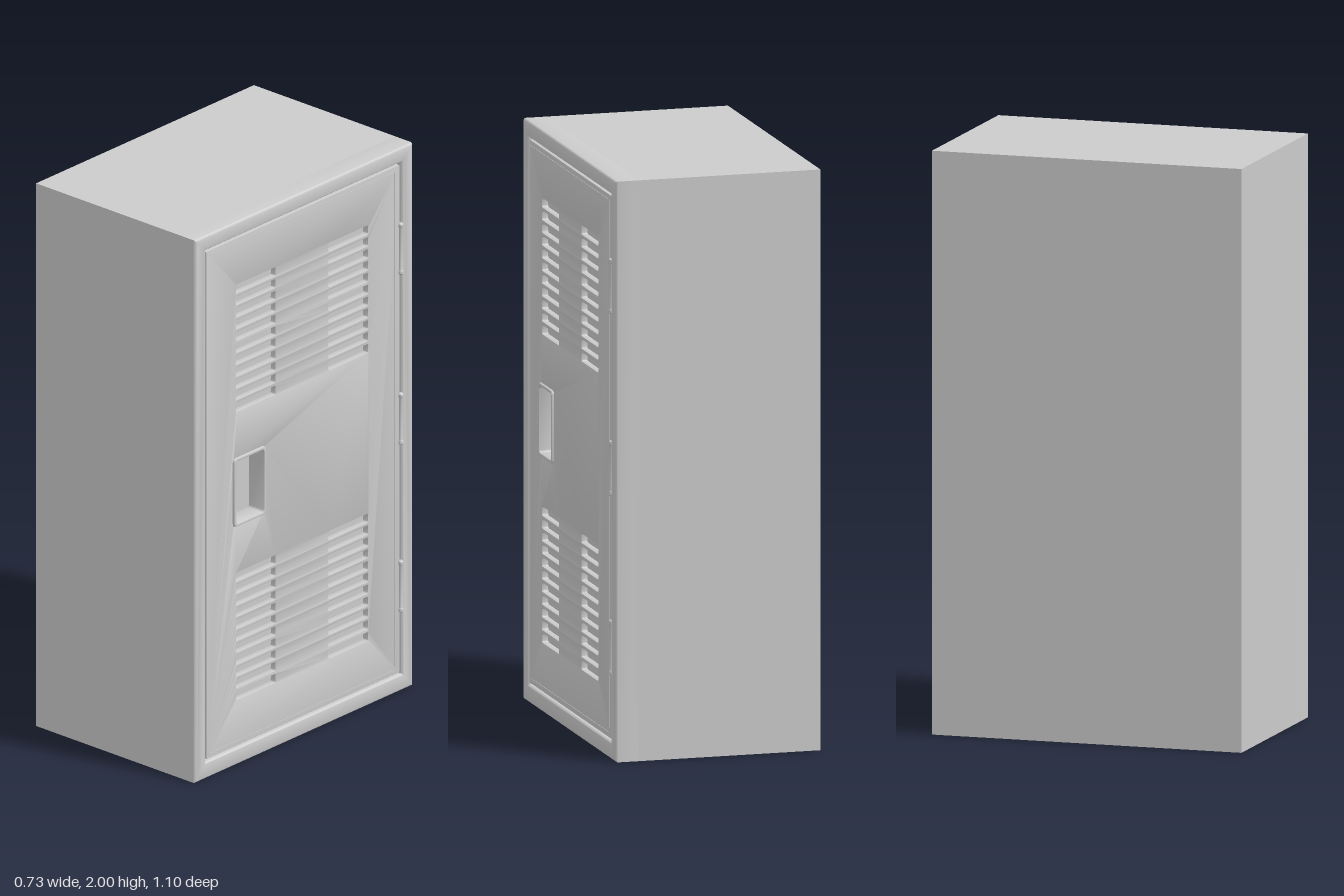
import * as THREE from 'three';
import { toCreasedNormals } from 'three/addons/utils/BufferGeometryUtils.js';

const material = new THREE.MeshStandardMaterial({ color: 0xcccccc });

// Rounded rectangle on the door plane, given by its z and y limits (shape x = -z)
function rect(z0, z1, y0, y1, r = 0, Type = THREE.Shape) {
  const s = new Type(), a = -z1, b = -z0;
  if (r === 0) {
    s.moveTo(a, y0); s.lineTo(b, y0); s.lineTo(b, y1); s.lineTo(a, y1); s.closePath();
    return s;
  }
  s.moveTo(a + r, y0);
  s.lineTo(b - r, y0); s.quadraticCurveTo(b, y0, b, y0 + r);
  s.lineTo(b, y1 - r); s.quadraticCurveTo(b, y1, b - r, y1);
  s.lineTo(a + r, y1); s.quadraticCurveTo(a, y1, a, y1 - r);
  s.lineTo(a, y0 + r); s.quadraticCurveTo(a, y0, a + r, y0);
  return s;
}
const hole = (...args) => rect(...args, THREE.Path);

// Extrude a door-plane shape from x0 to x1 with softened edges
function slab(name, shape, x0, x1, bevel = 0) {
  let g = new THREE.ExtrudeGeometry(shape, {
    depth: x1 - x0 - 2 * bevel, curveSegments: 3,
    bevelEnabled: bevel > 0, bevelSize: bevel, bevelThickness: bevel,
    bevelOffset: -bevel, bevelSegments: bevel > 0.005 ? 4 : 2,
  });
  g.translate(0, 0, x0 + bevel);
  g.rotateY(Math.PI / 2);
  g = toCreasedNormals(g, 0.6);
  const mesh = new THREE.Mesh(g, material);
  mesh.name = name;
  return mesh;
}

// Hinge barrel with a rounded knuckle at each end
function hinge(y) {
  const h = 0.095;
  const profile = [[0, -h], [0.006, -h], [0.009, -h + 0.004], [0.009, -h + 0.014], [0.007, -h + 0.017],
    [0.007, h - 0.017], [0.009, h - 0.014], [0.009, h - 0.004], [0.006, h], [0, h]]
    .map(([r, v]) => new THREE.Vector2(r, v));
  const g = toCreasedNormals(new THREE.LatheGeometry(profile, 16), 0.6);
  const mesh = new THREE.Mesh(g, material);
  mesh.name = 'hinge';
  mesh.position.set(0.354, y, -0.491);
  return mesh;
}

export function createModel() {
  const group = new THREE.Group();
  group.name = 'locker';

  // Closed cabinet body and the rounded frame around the doorway
  group.add(slab('cabinetBody', rect(-0.55, 0.55, 0, 2), -0.364, 0.29));
  const frame = rect(-0.55, 0.55, 0, 2);
  frame.holes.push(hole(-0.496, 0.496, 0.06, 1.946, 0));
  group.add(slab('doorFrame', frame, 0.265, 0.357, 0.01));

  // Inner panel behind the door, open at the handle pocket
  const inner = rect(-0.51, 0.51, 0.04, 1.96);
  inner.holes.push(hole(0.2, 0.35, 0.885, 1.125, 0));
  group.add(slab('innerPanel', inner, 0.28, 0.33));

  // Door with four banks of vent slots
  const door = rect(-0.487, 0.489, 0.068, 1.938, 0.004);
  door.holes.push(hole(0.2, 0.35, 0.885, 1.125, 0.008));
  for (const [z0, z1] of [[0.139, 0.339], [-0.328, -0.128]])
    for (const bottom of [0.252, 1.314])
      for (let i = 0; i < 11; i++) {
        const y = bottom + i * 0.0437;
        door.holes.push(hole(z0, z1, y - 0.016, y + 0.016, 0.006));
      }
  group.add(slab('door', door, 0.325, 0.352, 0.002));

  // Raised rim around the handle pocket
  const rim = rect(0.195, 0.356, 0.879, 1.13, 0.014);
  rim.holes.push(hole(0.206, 0.345, 0.89, 1.119, 0.009));
  group.add(slab('handleRim', rim, 0.29, 0.361, 0.004));

  // Folded seam lines near the hinge edge, top and bottom of the door
  const seams = [[-0.463, -0.459, 0.1, 1.92], [-0.455, 0.475, 1.918, 1.921], [-0.455, 0.475, 0.084, 0.087]];
  for (const s of seams) group.add(slab('doorSeam', rect(...s), 0.35, 0.3535));

  for (const y of [0.385, 1.002, 1.629]) group.add(hinge(y));
  return group;
}
